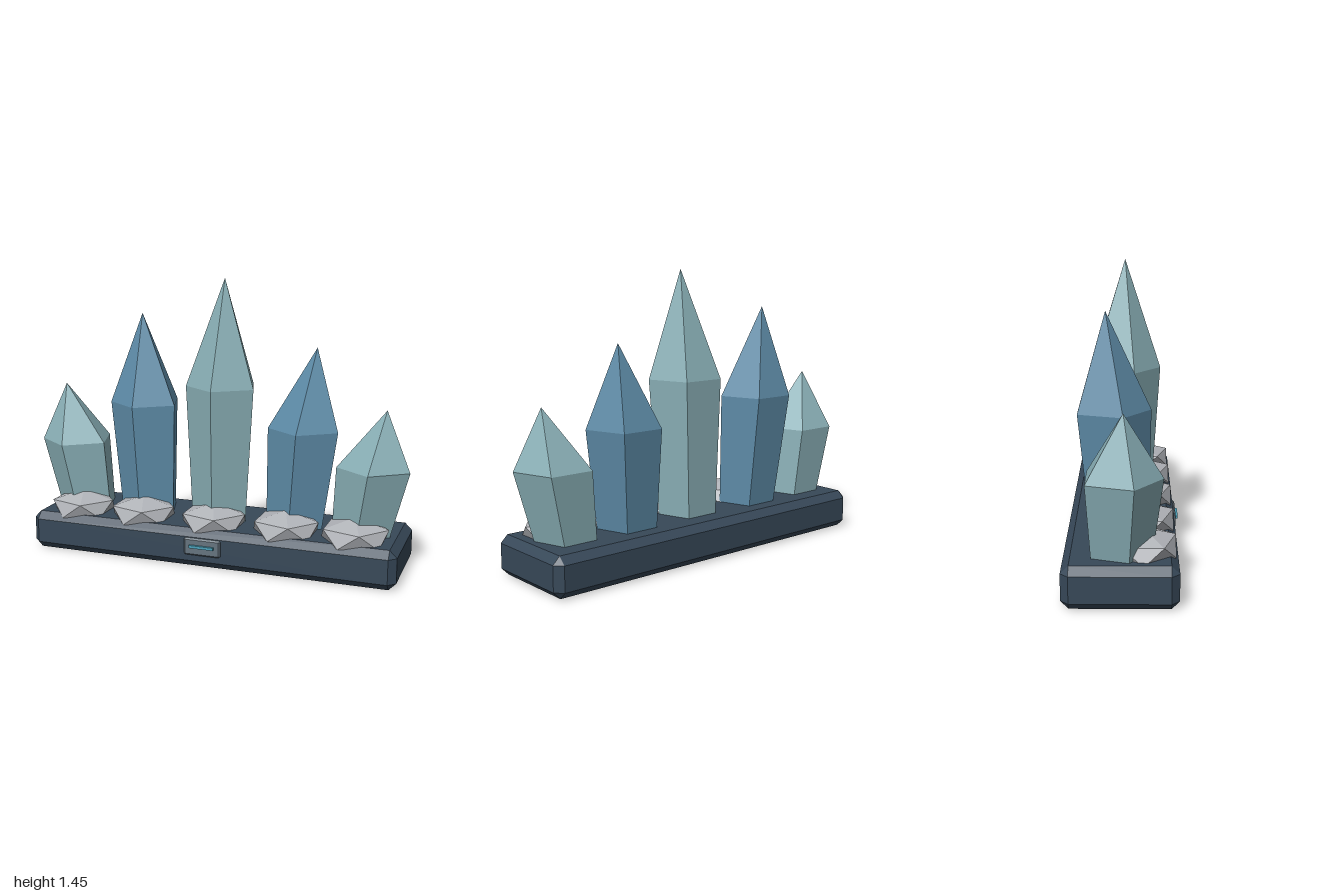
import * as THREE from 'three';
import { ConvexGeometry } from 'three/addons/geometries/ConvexGeometry.js';

const material = (color) => new THREE.MeshStandardMaterial({ color, flatShading: true });
const slate = material(0x374858);
const paleTeal = material(0x8ab0b7);
const steelBlue = material(0x5e8ca8);
const stone = material(0xb0b3b8);
const plateGrey = material(0x65737e);
const glow = material(0x4a9fb8);

// Box with every edge and corner cut off by c
function chamferBox(w, h, d, c) {
  const points = [];
  for (const x of [-1, 1]) for (const y of [-1, 1]) for (const z of [-1, 1]) {
    const [a, b, e] = [w / 2, h / 2, d / 2];
    points.push(
      new THREE.Vector3(x * a, y * (b - c), z * (e - c)),
      new THREE.Vector3(x * (a - c), y * b, z * (e - c)),
      new THREE.Vector3(x * (a - c), y * (b - c), z * e));
  }
  return new ConvexGeometry(points);
}

// Five-sided leaning crystal from three levels [x, y, z, radius]: foot, shoulder, tip
function crystalGeometry(levels) {
  const sides = 5, positions = [];
  const corner = ([x, y, z, r], i) => {
    const a = (i / sides) * Math.PI * 2;
    return [x + r * Math.sin(a), y, z + r * Math.cos(a)];
  };
  const [foot, shoulder, tip] = levels;
  for (let i = 0; i < sides; i++) {
    const a = corner(foot, i), b = corner(foot, i + 1);
    const c = corner(shoulder, i), d = corner(shoulder, i + 1);
    positions.push(...a, ...b, ...d, ...a, ...d, ...c);
    positions.push(...c, ...d, ...tip.slice(0, 3));
    positions.push(...b, ...a, foot[0], foot[1], foot[2]);
  }
  const geometry = new THREE.BufferGeometry();
  geometry.setAttribute('position', new THREE.Float32BufferAttribute(positions, 3));
  geometry.computeVertexNormals();
  return geometry;
}

export function createModel() {
  const group = new THREE.Group();
  const add = (name, geometry, mat, x = 0, y = 0, z = 0) => {
    const mesh = new THREE.Mesh(geometry, mat);
    mesh.name = name;
    mesh.position.set(x, y, z);
    group.add(mesh);
    return mesh;
  };

  // Chamfered plinth
  add('base', chamferBox(1.95, 0.2, 0.525, 0.037), slate, 0.003, 0.1, -0.0125);

  // Front plate with light strip
  add('frontPlate', chamferBox(0.195, 0.09, 0.03, 0.008), plateGrey, 0.003, 0.115, 0.247);
  add('lightStrip', new THREE.BoxGeometry(0.13, 0.014, 0.02), glow, 0.003, 0.119, 0.265);

  // Crystals: foot x, shoulder x and y, tip x and y, z lean (foot, shoulder, tip)
  const upright = [-0.02, -0.011, 0], back = [-0.035, -0.062, -0.087];
  const crystals = [
    [-0.76, -0.817, 0.56, -0.873, 0.865, upright, paleTeal],
    [-0.397, -0.428, 0.78, -0.457, 1.25, back, steelBlue],
    [0.012, 0.022, 0.9, 0.035, 1.45, upright, paleTeal],
    [0.413, 0.447, 0.7, 0.495, 1.11, back, steelBlue],
    [0.76, 0.817, 0.54, 0.87, 0.832, upright, paleTeal],
  ];
  crystals.forEach(([x0, x1, y1, x2, y2, z, mat], i) => {
    add('crystal' + (i + 1), crystalGeometry([
      [x0, 0.19, z[0], 0.153],
      [x1, y1, z[1], 0.191],
      [x2, y2, z[2], 0],
    ]), mat);
  });

  // Flattened rocks along the front, one point up
  const rock = new THREE.IcosahedronGeometry(1, 0);
  rock.rotateZ(-0.5536);
  rock.scale(0.19, 0.086, 0.175);
  [-0.74, -0.387, 0.007, 0.393, 0.745].forEach((x, i) => {
    add('rock' + (i + 1), rock, stone, x, 0.22, 0.09);
  });

  return group;
}
